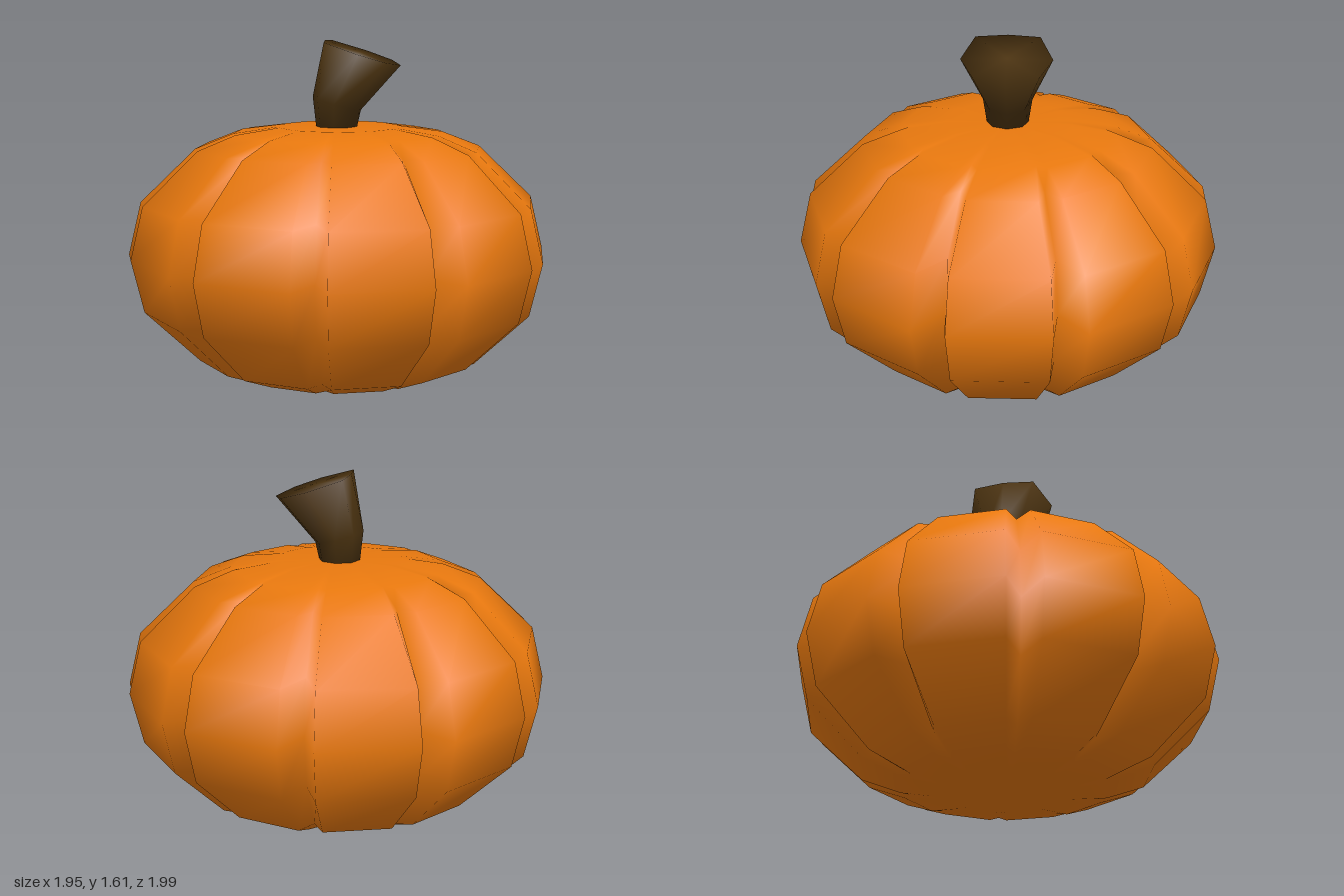
import * as THREE from 'three';

// Smooth closed skin over rings of equal length, listed bottom to top, counterclockwise from above.
function loft(rings) {
  const n = rings[0].length, points = rings.flat(), index = [];
  for (let j = 0; j < rings.length - 1; j++) {
    for (let i = 0; i < n; i++) {
      const a = j * n + i, b = j * n + (i + 1) % n;
      index.push(a, b, b + n, a, b + n, a + n);
    }
  }
  // End caps fan out from the centre of the first and last ring
  const centre = (ring) => ring.reduce((s, p) => s.add(p), new THREE.Vector3()).divideScalar(n);
  const bottom = points.length, top = bottom + 1, last = (rings.length - 1) * n;
  points.push(centre(rings[0]), centre(rings[rings.length - 1]));
  for (let i = 0; i < n; i++) {
    const k = (i + 1) % n;
    index.push(bottom, k, i, top, last + i, last + k);
  }
  const geometry = new THREE.BufferGeometry().setFromPoints(points);
  geometry.setIndex(index);
  geometry.computeVertexNormals();
  return geometry;
}

const polar = (r, angle, y) => new THREE.Vector3(r * Math.sin(angle), y, r * Math.cos(angle));

// Ten flat-fronted lobes with narrow grooves that fade out towards the poles
function createBody() {
  // [y, lobe radius, groove radius]
  const half = [[0, 0.29, 0.28], [0.03, 0.5, 0.46], [0.1, 0.68, 0.59], [0.35, 0.94, 0.76]];
  const profile = [...half, [0.6, 1, 0.8], ...half.map(([y, r, g]) => [1.2 - y, r, g]).reverse()];
  const lobes = 10, step = (Math.PI * 2) / lobes, gap = THREE.MathUtils.degToRad(4.6);
  return loft(profile.map(([y, r, g]) => {
    const ring = [];
    for (let k = 0; k < lobes; k++) {
      ring.push(polar(g, k * step, y), polar(r, k * step + gap, y), polar(r, (k + 1) * step - gap, y));
    }
    return ring;
  }));
}

// Eight-sided stem that leans to +x and flares to a slanted cut
function createStem() {
  const ring = (x, y, r, slope) => Array.from({ length: 8 }, (_, i) => {
    const p = polar(r, (i * Math.PI) / 4, y);
    p.y += p.x * slope;
    p.x += x;
    return p;
  });
  const cut = [[0.115, 0.21], [0.24, 0.15], [0.295, 0], [0.24, -0.15],
    [0.115, -0.21], [-0.05, -0.15], [-0.065, 0], [-0.05, 0.15]]
    .map(([x, z]) => new THREE.Vector3(x, 1.585 - 0.32 * x, z));
  return loft([ring(-0.01, 1.18, 0.095, 0), ring(-0.008, 1.31, 0.115, -0.27), cut]);
}

export function createModel() {
  const group = new THREE.Group();
  group.name = 'pumpkin';
  const add = (name, geometry, color) => {
    const mesh = new THREE.Mesh(geometry, new THREE.MeshStandardMaterial({ color }));
    mesh.name = name;
    group.add(mesh);
  };
  add('body', createBody(), 0xe8780e);
  add('stem', createStem(), 0x4a3210);
  return group;
}
